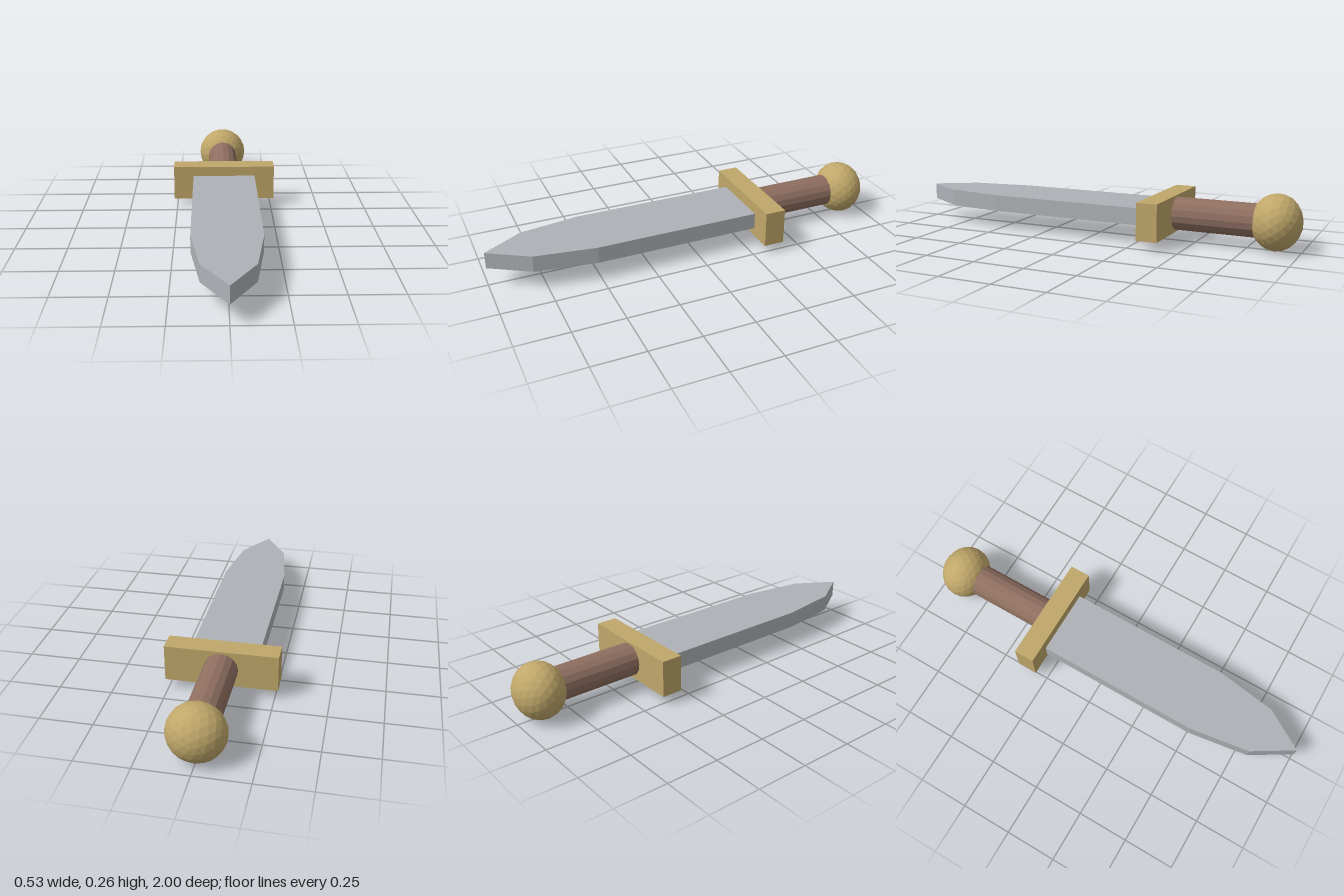
import * as THREE from 'three';

const CENTER_Y = 0.133;

function material(name, color) {
  const m = new THREE.MeshStandardMaterial({ color, flatShading: true });
  m.name = name;
  return m;
}

export function createModel() {
  const steel = material('steel', 0xaeb2b6);
  const brass = material('brass', 0xc0a76a);
  const leather = material('leather', 0x8f6f60);

  const model = new THREE.Group();
  model.name = 'dagger';
  const add = (name, geometry, mat, y, z) => {
    const mesh = new THREE.Mesh(geometry, mat);
    mesh.name = name;
    mesh.position.set(0, y, z);
    model.add(mesh);
  };

  // Blade: flat outline tapering in two steps to the point
  const half = [[0.162, -0.297], [0.162, 0.512], [0.118, 0.807]];
  const outline = [
    ...half,
    [0, 1],
    ...half.map(([x, z]) => [-x, z]).reverse(),
  ].map(([x, z]) => new THREE.Vector2(x, z));
  const blade = new THREE.ExtrudeGeometry(new THREE.Shape(outline), { depth: 0.081, bevelEnabled: false });
  blade.rotateX(Math.PI / 2); // outline runs along z, thickness goes down
  add('blade', blade, steel, 0.174, 0);

  // Cross guard
  add('guard', new THREE.BoxGeometry(0.53, 0.177, 0.101), brass, CENTER_Y, -0.3545);

  // Grip, sunk slightly into the pommel
  const grip = new THREE.CylinderGeometry(0.08, 0.08, 0.42, 16);
  grip.rotateX(Math.PI / 2);
  add('grip', grip, leather, CENTER_Y, -0.614);

  // Pommel: faceted ball, flattened along the grip, one pole on the z axis
  const pommel = new THREE.IcosahedronGeometry(1, 3);
  pommel.rotateX(Math.atan2(1, (1 + Math.sqrt(5)) / 2));
  pommel.scale(0.132, 0.132, 0.117);
  add('pommel', pommel, brass, CENTER_Y, -0.883);

  return model;
}
